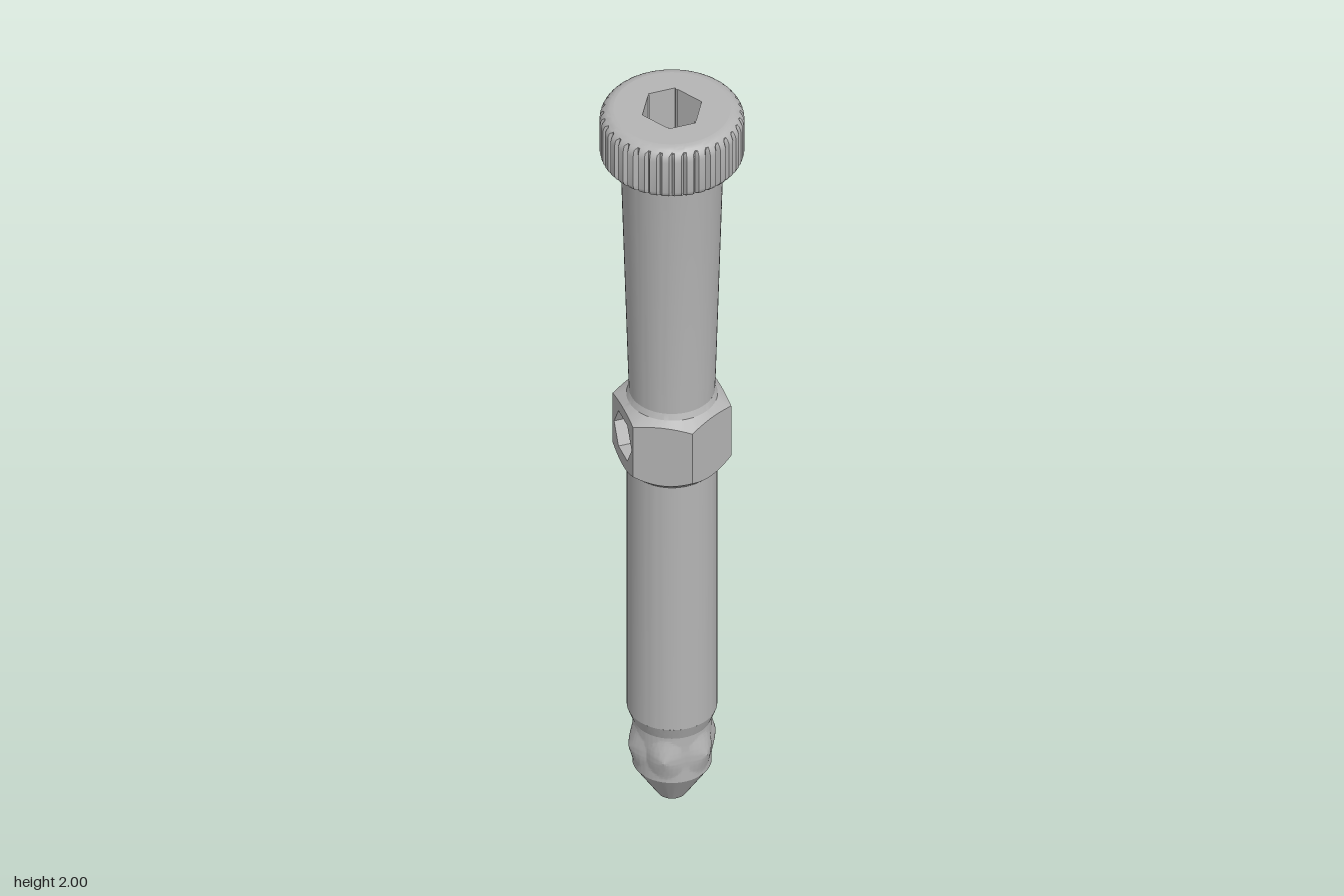
import * as THREE from 'three';
import { toCreasedNormals } from 'three/addons/utils/BufferGeometryUtils.js';

const TAU = Math.PI * 2;
const BORE = 0.035;      // radius of the long bore and the cross bore
const HOLE_Y = 1.07;     // height of the cross bore
const APOTHEM = 0.121, CORNER = 0.14;   // hexagonal collar

const evenAngles = n => Array.from({ length: n }, (_, i) => i / n * TAU);
const ROUND = evenAngles(72);

// One closed loop around y, counter-clockwise from above; r and y may depend on the angle
function ring(y, r, angles = ROUND) {
  return angles.map(a => {
    const rad = typeof r === 'function' ? r(a) : r;
    const x = rad * Math.cos(a), z = -rad * Math.sin(a);
    return new THREE.Vector3(x, typeof y === 'function' ? y(x, z, rad) : y, z);
  });
}

// Skin over loops: listed upwards it faces out, listed downwards it faces in
function loft(loops, crease = 0.5) {
  const n = loops[0].length, pos = [], idx = [];
  loops.forEach(l => l.forEach(p => pos.push(p.x, p.y, p.z)));
  for (let i = 0; i < loops.length - 1; i++) {
    for (let j = 0; j < n; j++) {
      const a = i * n + j, b = i * n + (j + 1) % n;
      idx.push(a, b, b + n, a, b + n, a + n);
    }
  }
  const g = new THREE.BufferGeometry();
  g.setAttribute('position', new THREE.Float32BufferAttribute(pos, 3));
  g.setIndex(idx);
  return toCreasedNormals(g, crease);
}

const lathe = (profile, angles) => loft(profile.map(([r, y]) => ring(y, r, angles)));

// Splits each edge of a closed outline so that it can blend into a circle
function subdivide(points, k) {
  return points.flatMap((p, i) => {
    const q = points[(i + 1) % points.length];
    return Array.from({ length: k }, (_, s) => p.clone().lerp(q, s / k));
  });
}

const hexagon = r => evenAngles(6).map(a => new THREE.Vector2(r * Math.cos(a), r * Math.sin(a)));

export function createModel() {
  const model = new THREE.Group();
  const metal = new THREE.MeshStandardMaterial({ color: 0xb4b4b4 });
  metal.name = 'greyMetal';
  const add = (name, geometry, parent = model) => {
    const mesh = new THREE.Mesh(geometry, metal);
    mesh.name = name;
    parent.add(mesh);
    return mesh;
  };

  // Tip, with the rim of the bore at its end
  add('tip', lathe([[BORE, 0], [0.092, 0.09]]));

  // Neck with six pointed bumps
  const neckAngles = evenAngles(144), neckLoops = [];
  for (let i = 0; i <= 33; i++) {
    const y = 0.09 + i * 0.005;
    const base = y < 0.22 ? 0.092 : 0.092 + (y - 0.22) / 0.035 * 0.013;
    neckLoops.push(ring(y, a => {
      const turn = a - Math.round(a / (TAU / 6)) * TAU / 6;
      return Math.max(base, 0.107 - 0.28 * Math.hypot(0.1 * turn, y - 0.155));
    }, neckAngles));
  }
  add('bumpedNeck', loft(neckLoops, 0.2));

  // Lower and upper barrels
  add('lowerBarrel', lathe([[0.105, 0.255], [0.105, 0.967]]));
  add('upperBarrel', lathe([[0.1, 1.18], [0.102, 1.24], [0.119, 1.835], [0.121, 1.85], [0.127, 1.858], [0.135, 1.861]]));

  // Hexagonal collar: cones clipped by six flat faces
  const steps = 12, us = Array.from({ length: steps + 1 }, (_, i) => (i / steps - 0.5) * CORNER);
  const collarAngles = [];
  for (let k = 0; k < 6; k++) {
    us.slice(0, steps).forEach(u => collarAngles.push(k * TAU / 6 + Math.atan2(u, APOTHEM)));
  }
  const hexRadius = a => APOTHEM / Math.cos(a - Math.round(a / (TAU / 6)) * TAU / 6);
  const lowEdge = r => 1.0 - (CORNER - r) * 0.9;
  const highEdge = r => 1.145 + (CORNER - r) * 0.4;
  const collar = new THREE.Group();
  collar.name = 'hexCollar';
  model.add(collar);
  add('collarUnderside', loft([ring(0.967, 0.105, collarAngles), ring((x, z, r) => lowEdge(r), hexRadius, collarAngles)]), collar);
  add('collarShoulder', loft([
    ring((x, z, r) => highEdge(r), hexRadius, collarAngles),
    ring(1.165, 0.106, collarAngles), ring(1.18, 0.1, collarAngles)]), collar);
  for (let k = 0; k < 6; k++) {
    const face = new THREE.Shape([
      ...us.map(u => new THREE.Vector2(u, lowEdge(Math.hypot(u, APOTHEM)))),
      ...[...us].reverse().map(u => new THREE.Vector2(u, highEdge(Math.hypot(u, APOTHEM))))]);
    const up = new THREE.Vector2(0, HOLE_Y);
    if (k === 0) face.holes.push(new THREE.Path(ROUND.map(a => new THREE.Vector2(0.055 * Math.cos(a), 0.055 * Math.sin(a)).add(up))));
    if (k === 3) face.holes.push(new THREE.Path(hexagon(0.06).map(p => p.add(up))));
    const g = new THREE.ShapeGeometry(face);
    g.translate(0, 0, APOTHEM).rotateY(Math.PI / 2 + k * TAU / 6);
    add('collarFace', g, collar);
  }

  // Cross bore: countersunk on the left, hexagonal pocket on the right
  const meet = x => Math.abs(x);   // where two equal bores cross
  const countersink = loft([ring(APOTHEM, 0.055), ring(0.085, BORE), ring(meet, BORE)]);
  countersink.rotateZ(-Math.PI / 2).translate(0, HOLE_Y, 0);
  add('countersunkHole', countersink, collar);
  // Pocket corners point along z
  const pocketAngles = subdivide(hexagon(0.06), 10).map(p => Math.atan2(p.y, p.x) + Math.PI / 2);
  const pocketRadius = a => {
    const t = a - Math.PI / 2;
    return 0.06 * Math.cos(Math.PI / 6) / Math.cos(t - (Math.floor(t / (TAU / 6) + 1e-6) + 0.5) * TAU / 6);
  };
  const pocket = loft([
    ring(APOTHEM, pocketRadius, pocketAngles), ring(0.09, pocketRadius, pocketAngles),
    ring(0.075, BORE, pocketAngles), ring(meet, BORE, pocketAngles)]);
  pocket.rotateZ(Math.PI / 2).translate(0, HOLE_Y, 0);
  add('hexPocket', pocket, collar);

  // Long bore, open where the cross bore passes
  add('lowerBore', loft([ring(x => HOLE_Y - meet(x), BORE), ring(0, BORE)]));
  add('upperBore', loft([ring(1.84, BORE), ring(x => HOLE_Y + meet(x), BORE)]));

  // Knurled head: a rounded profile cut by V grooves
  const teeth = 36, knurlAngles = [];
  for (let i = 0; i < teeth; i++) {
    for (const f of [0.22, 0.78, 1]) knurlAngles.push((i + f) / teeth * TAU);
  }
  const grooves = a => {
    const f = a / TAU * teeth;
    return Math.abs(f - Math.round(f)) < 0.1 ? 0.157 : 0.168;
  };
  const headProfile = [[0.135, 1.861], [0.15, 1.862], [0.16, 1.866], [0.166, 1.874], [0.168, 1.882]];
  for (let i = 0; i <= 6; i++) {
    const t = i / 6 * Math.PI / 2;
    headProfile.push([0.136 + 0.032 * Math.cos(t), 1.968 + 0.032 * Math.sin(t)]);
  }
  add('knurledHead', loft(headProfile.map(([r, y]) => ring(y, a => Math.min(r, grooves(a)), knurlAngles))));

  // Hexagonal socket with a shallow slot on its front and back flats
  const quarter = [[0.073, 0], [0.0365, 0.0632], [0.033, 0.0632], [0.033, 0.07]];
  const half = [...quarter, ...quarter.slice(1).reverse().map(([x, y]) => [-x, y])];
  const outline = [...half, ...half.map(([x, y]) => [-x, -y])].map(p => new THREE.Vector2(...p));
  const top = new THREE.Shape(knurlAngles.map(a => new THREE.Vector2(0.136 * Math.cos(a), 0.136 * Math.sin(a))));
  top.holes.push(new THREE.Path(outline));
  add('headTop', new THREE.ShapeGeometry(top).rotateX(-Math.PI / 2).translate(0, 2, 0));
  const fine = subdivide(outline, 6);
  const level = y => fine.map(p => new THREE.Vector3(p.x, y, -p.y));
  add('hexSocket', loft([level(2), level(1.88), ring(1.84, BORE, fine.map(p => Math.atan2(p.y, p.x)))]));

  return model;
}
